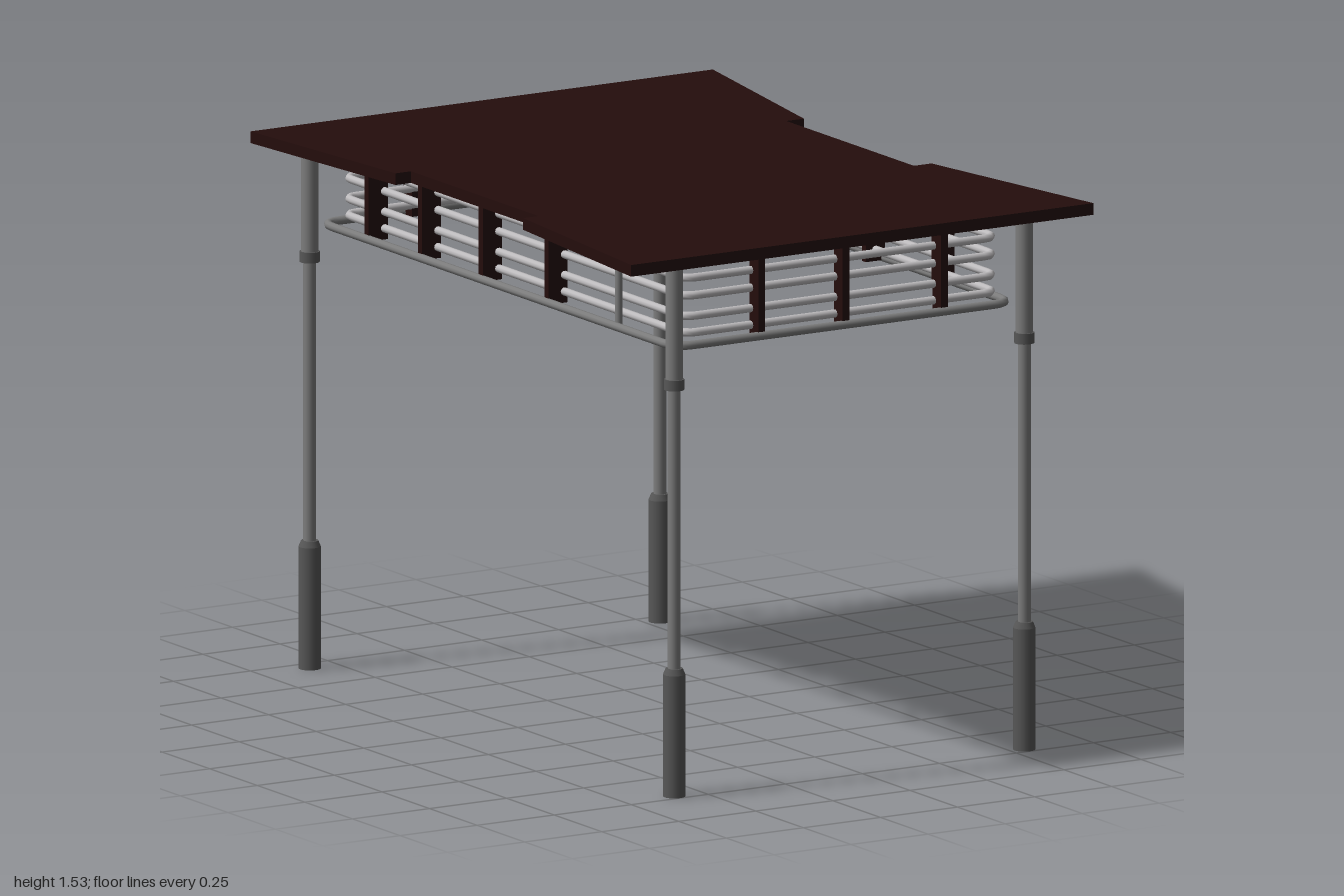
import * as THREE from 'three';

const mat = (name, color, side = THREE.FrontSide) => {
  const m = new THREE.MeshStandardMaterial({ color, side });
  m.name = name;
  return m;
};

export function createModel() {
  const root = new THREE.Group();
  root.name = 'table';
  const wood = mat('dark wood', 0x240d0c);
  const steel = mat('steel', 0x7c7c7c);
  const darkSteel = mat('dark steel', 0x575757);
  const brightSteel = mat('bright steel', 0xbdbbbd);

  const add = (parent, name, geometry, material, x = 0, y = 0, z = 0) => {
    const mesh = new THREE.Mesh(geometry, material);
    mesh.name = name;
    mesh.position.set(x, y, z);
    parent.add(mesh);
    return mesh;
  };

  // Waisted table top with a notch in each long side
  const outline = [
    [-0.75, -1], [0.75, -1], [0.635, -0.335], [0.578, -0.335], [0.578, 0.335], [0.635, 0.335],
    [0.75, 1], [-0.75, 1], [-0.69, 0.335], [-0.64, 0.335], [-0.64, -0.335], [-0.69, -0.335],
  ].map(([x, z]) => new THREE.Vector2(x, -z));
  const top = new THREE.ExtrudeGeometry(new THREE.Shape(outline), { depth: 0.033, bevelEnabled: false });
  top.rotateX(-Math.PI / 2);
  add(root, 'tableTop', top, wood, 0, 1.493, 0);

  // Four legs: tapered foot, slim pole, collar and wider upper tube
  const tube = (r0, r1, y0, y1) => {
    const g = new THREE.CylinderGeometry(r1, r0, y1 - y0, 20);
    g.translate(0, (y0 + y1) / 2, 0);
    return g;
  };
  for (const x of [-0.592, 0.544]) {
    for (const z of [0.97, -0.945]) {
      const leg = new THREE.Group();
      leg.name = 'leg';
      leg.position.set(x, 0, z);
      add(leg, 'foot', tube(0.031, 0.031, 0, 0.345), darkSteel);
      add(leg, 'footTaper', tube(0.031, 0.024, 0.345, 0.362), darkSteel);
      add(leg, 'pole', tube(0.018, 0.018, 0.36, 1.16), steel);
      add(leg, 'collar', tube(0.028, 0.028, 1.15, 1.18), darkSteel);
      add(leg, 'upperTube', tube(0.024, 0.024, 1.18, 1.495), steel);
      root.add(leg);
    }
  }

  // Closed pipe following a rounded rectangle
  const pipeLoop = (x0, x1, z0, z1, corner, radius) => {
    const v = (x, z) => new THREE.Vector3(x, 0, z);
    const path = new THREE.CurvePath();
    const corners = [v(x0, z0), v(x1, z0), v(x1, z1), v(x0, z1)];
    corners.forEach((c, i) => {
      const next = corners[(i + 1) % 4];
      const after = corners[(i + 2) % 4];
      const dir = next.clone().sub(c).normalize().multiplyScalar(corner);
      const turn = after.clone().sub(next).normalize().multiplyScalar(corner);
      const end = next.clone().sub(dir);
      path.add(new THREE.LineCurve3(c.clone().add(dir), end));
      path.add(new THREE.QuadraticBezierCurve3(end, next, next.clone().add(turn)));
    });
    return new THREE.TubeGeometry(path, 240, radius, 10, true);
  };

  // Basket rails and the wider rim beneath them
  const rail = pipeLoop(-0.52, 0.49, -0.88, 0.908, 0.04, 0.0115);
  for (const y of [1.288, 1.335, 1.393, 1.443]) add(root, 'basketRail', rail, brightSteel, 0, y, 0);
  add(root, 'basketRim', pipeLoop(-0.572, 0.52, -0.918, 0.943, 0.06, 0.012), steel, 0, 1.262, 0);

  // Wooden hangers on the short sides
  const hangerHeight = 0.24;
  const hangerY = 1.376;
  const endHanger = new THREE.BoxGeometry(0.022, hangerHeight, 0.046);
  for (const x of [-0.293, -0.02, 0.3]) {
    for (const z of [0.923, -0.896]) add(root, 'endHanger', endHanger, wood, x, hangerY, z);
  }

  // Hangers on the long sides, with one slim steel post on each side
  const sideHanger = new THREE.BoxGeometry(0.062, hangerHeight, 0.022);
  const post = new THREE.CylinderGeometry(0.01, 0.01, hangerHeight, 12);
  for (const [x, postZ] of [[-0.54, 0.63], [0.49, -0.68]]) {
    for (const z of [0.63, 0.265, -0.08, -0.4, -0.68]) {
      if (z === postZ) add(root, 'sidePost', post, steel, x + Math.sign(x) * 0.022, hangerY, z);
      else add(root, 'sideHanger', sideHanger, wood, x, hangerY, z);
    }
  }
  return root;
}
